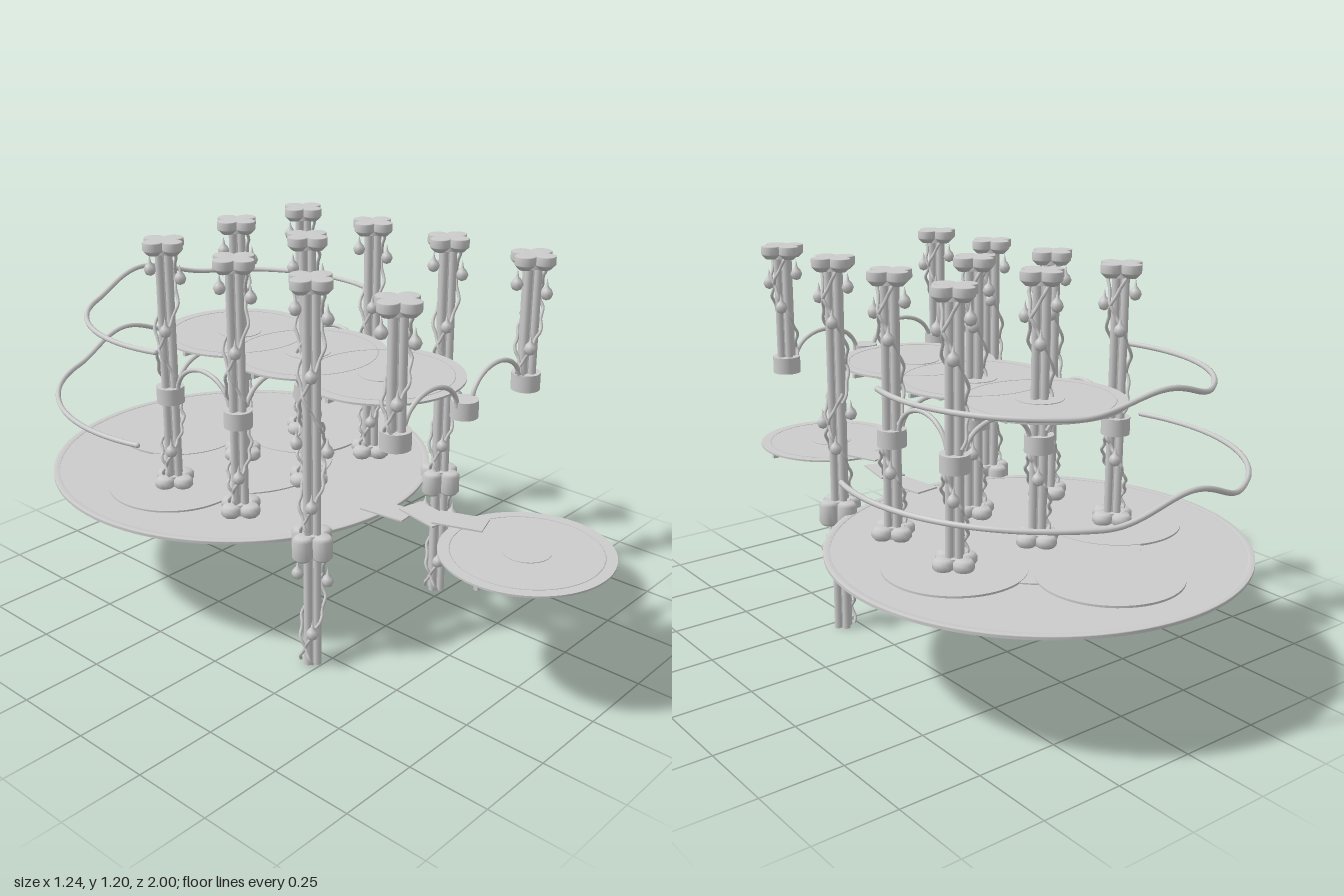
import * as THREE from 'three';

const mat = new THREE.MeshStandardMaterial({ color: 0xcccccc, side: THREE.DoubleSide });
const V = (x, y, z) => new THREE.Vector3(x, y, z);

function add(parent, name, geo, x = 0, y = 0, z = 0) {
  const m = new THREE.Mesh(geo, mat);
  m.name = name;
  m.position.set(x, y, z);
  parent.add(m);
  return m;
}

// Upright cylinder given by its bottom and top heights
function drum(parent, name, r, y0, y1, x = 0, z = 0, seg = 24, rBottom = r) {
  return add(parent, name, new THREE.CylinderGeometry(r, rBottom, y1 - y0, seg), x, (y0 + y1) / 2, z);
}

function tube(parent, name, pts, r, seg = 40) {
  return add(parent, name, new THREE.TubeGeometry(new THREE.CatmullRomCurve3(pts), seg, r, 8));
}

function group(parent, name, x = 0, y = 0, z = 0) {
  const g = new THREE.Group();
  g.name = name;
  g.position.set(x, y, z);
  parent.add(g);
  return g;
}

// Four rounded lobes turned from one profile
function clover(parent, name, y, profile) {
  const pts = profile.map(([r, h]) => new THREE.Vector2(r, h));
  for (let i = 0; i < 4; i++) {
    const a = i * Math.PI / 2;
    add(parent, name, new THREE.LatheGeometry(pts, 14), 0.04 * Math.cos(a), y, 0.04 * Math.sin(a));
  }
  drum(parent, name + 'Core', 0.035, y + profile[0][1], y + profile.at(-1)[1], 0, 0, 12);
}

// Two stems winding in opposite directions, with pointed buds
function vine(parent, base, y0, y1) {
  const g = group(parent, 'vine');
  for (const s of [1, -1]) {
    const pts = [];
    for (let i = 0; i <= 20; i++) {
      const y = y0 + (y1 - y0) * i / 20;
      const a = Math.PI - s * (y - base - 0.06) * 15;
      const r = 0.035 + 0.004 * Math.sin(i * 1.7);
      pts.push(V(r * Math.cos(a), y, r * Math.sin(a)));
    }
    tube(g, 'vineStem', pts, 0.005, 48);
  }
  const bud = [[0, -0.02], [0.013, -0.014], [0.019, 0], [0.014, 0.012], [0.005, 0.022], [0, 0.045]]
    .map(([r, h]) => new THREE.Vector2(r, h));
  const buds = [[-0.033, 0.12, 0.03], [0.034, 0.27, 0.03], [0.03, 0.2, -0.034], [-0.03, 0.3, -0.03]];
  for (const [x, h, z] of buds) {
    const y = base + h;
    if (y > y0 + 0.02 && y < y1 - 0.03) add(g, 'vineBud', new THREE.LatheGeometry(bud, 10), x, y, z);
  }
}

// Bundled shaft, flared capital, optional base and collar
function column(parent, x, z, { bottom, collar, knot, top = 1.19 }) {
  const c = group(parent, 'column', x, 0, z);
  for (let i = 0; i < 4; i++) {
    const a = i * Math.PI / 2;
    drum(c, 'shaft', 0.012, bottom, top - 0.03, 0.019 * Math.cos(a), 0.019 * Math.sin(a), 10);
  }
  drum(c, 'shaftCore', 0.016, bottom, top - 0.03, 0, 0, 10);
  clover(c, 'capital', top, [[0, -0.04], [0.016, -0.04], [0.029, -0.027], [0.031, -0.024], [0.031, -0.002], [0.029, 0], [0, 0]]);
  if (knot) clover(c, 'knot', knot[0], [[0, 0], [0.022, 0], [0.031, 0.01], [0.031, knot[1] - 0.01], [0.022, knot[1]], [0, knot[1]]]);
  if (collar) drum(c, 'collar', 0.043, collar, collar + 0.052);
  if (bottom === 0) vine(c, 0, 0.01, 0.36);
  if (bottom < 0.5) vine(c, 0.41, 0.44, collar || 0.78);
  vine(c, 0.80, bottom > 0.5 ? 0.835 : 0.75, 1.16);
}

// Thin round deck with a hub, ribs and pegs underneath
function deck(parent, y, z) {
  const d = group(parent, 'deck', 0, y, z);
  drum(d, 'deckPlate', 0.248, -0.006, 0, 0, 0, 64);
  const ring = add(d, 'deckRing', new THREE.TorusGeometry(0.215, 0.0015, 4, 64));
  ring.rotation.x = Math.PI / 2;
  drum(d, 'deckCentre', 0.07, 0, 0.002, 0, 0, 32);
  drum(d, 'deckHub', 0.06, -0.045, -0.006, 0, 0, 24, 0.04);
  for (const s of [-1, 1]) {
    add(d, 'straightRib', new THREE.BoxGeometry(0.2, 0.012, 0.012), s * 0.138, -0.018, 0);
    add(d, 'peg', new THREE.BoxGeometry(0.016, 0.022, 0.08), s * 0.15, -0.026, 0);
    tube(d, 'curvedRib', [V(0, -0.036, s * 0.03), V(0, -0.027, s * 0.09), V(0, -0.014, s * 0.15), V(0, -0.006, s * 0.2)], 0.006, 14);
  }
}

// Half-elliptical tube between two points of equal height
function arch(parent, a, b, height) {
  const pts = [];
  for (let i = 0; i <= 16; i++) {
    const t = Math.PI * i / 16;
    const p = a.clone().lerp(b, (1 - Math.cos(t)) / 2);
    p.y += height * Math.sin(t);
    pts.push(p);
  }
  tube(parent, 'arch', pts, 0.007, 32);
}

// Curved rail around the back, rising in the middle
function rail(parent, r, y, rise, endZ) {
  const start = Math.asin(endZ / r), pts = [];
  for (let i = 0; i <= 60; i++) {
    const a = -start + (Math.PI + 2 * start) * i / 60;
    const x = r * Math.cos(a);
    const back = Math.sin(a) > 0 && Math.abs(x) < 0.25;
    const lift = back ? rise * (1 + Math.cos(Math.PI * x / 0.25)) / 2 : 0;
    pts.push(V(x, y + lift, -0.38 - r * Math.sin(a)));
  }
  tube(parent, 'rail', pts, 0.008, 120);
  for (const p of [pts[0], pts.at(-1)]) add(parent, 'railEnd', new THREE.SphereGeometry(0.008, 8, 6), p.x, p.y, p.z);
}

export function createModel() {
  const model = new THREE.Group();
  model.name = 'pavilion';

  // Main round platform with rim and overlapping raised discs
  const base = group(model, 'platform', 0, 0, -0.38);
  drum(base, 'platformPlate', 0.62, 0.39, 0.398, 0, 0, 96);
  const rim = [[0.6, 0.397], [0.6, 0.401], [0.62, 0.401], [0.62, 0.397]].map(p => new THREE.Vector2(...p));
  add(base, 'platformRim', new THREE.LatheGeometry(rim, 96));
  drum(base, 'centreDisc', 0.3, 0.397, 0.402, 0, 0, 64);
  [[-0.3, 0], [0.3, 0], [0, -0.305]].forEach(([x, z], i) =>
    drum(base, 'lobeDisc', 0.206, 0.397, 0.4035 + i * 0.0004, x, z, 64));

  // Columns
  for (const z of [-0.38, -0.08]) {
    for (const x of [-0.3, 0, 0.3]) {
      column(model, x, z, { bottom: 0.4, collar: 0.68, knot: [0.4, 0.036], top: x ? 1.19 : 1.2 });
    }
  }
  for (const x of [-0.3, 0.3]) {
    column(model, x, 0.215, { bottom: 0, knot: [0.358, 0.075] });
    column(model, x, 0.515, { bottom: 0.785, collar: 0.783 });
  }

  // Decks: a row of three above, one low in front
  for (const z of [-0.38, -0.08, 0.215]) deck(model, 0.836, z);
  deck(model, 0.443, 0.748);

  // Stepping planks from the low deck to the platform
  [[0.015, 0.45, 0.51, 0.35], [0.02, 0.427, 0.38, -0.2], [0, 0.406, 0.25, 0.12]].forEach(([x, y, z, turn]) => {
    add(model, 'plank', new THREE.BoxGeometry(0.085, 0.005, 0.15), x, y, z).rotation.y = turn;
  });

  // Arches between collars
  drum(model, 'frontCollar', 0.04, 0.783, 0.835, 0, 0.515);
  for (const s of [-1, 1]) {
    arch(model, V(s * 0.265, 0.82, 0.515), V(s * 0.035, 0.82, 0.515), 0.085);
    for (const z of [-0.38, -0.08]) arch(model, V(s * 0.265, 0.72, z), V(s * 0.035, 0.72, z), 0.085);
    arch(model, V(s * 0.3, 0.72, -0.115), V(s * 0.3, 0.72, -0.345), 0.095);
  }

  // Rails
  rail(model, 0.585, 0.66, 0.065, 0.155);
  rail(model, 0.478, 0.91, 0.052, 0.13);

  return model;
}
